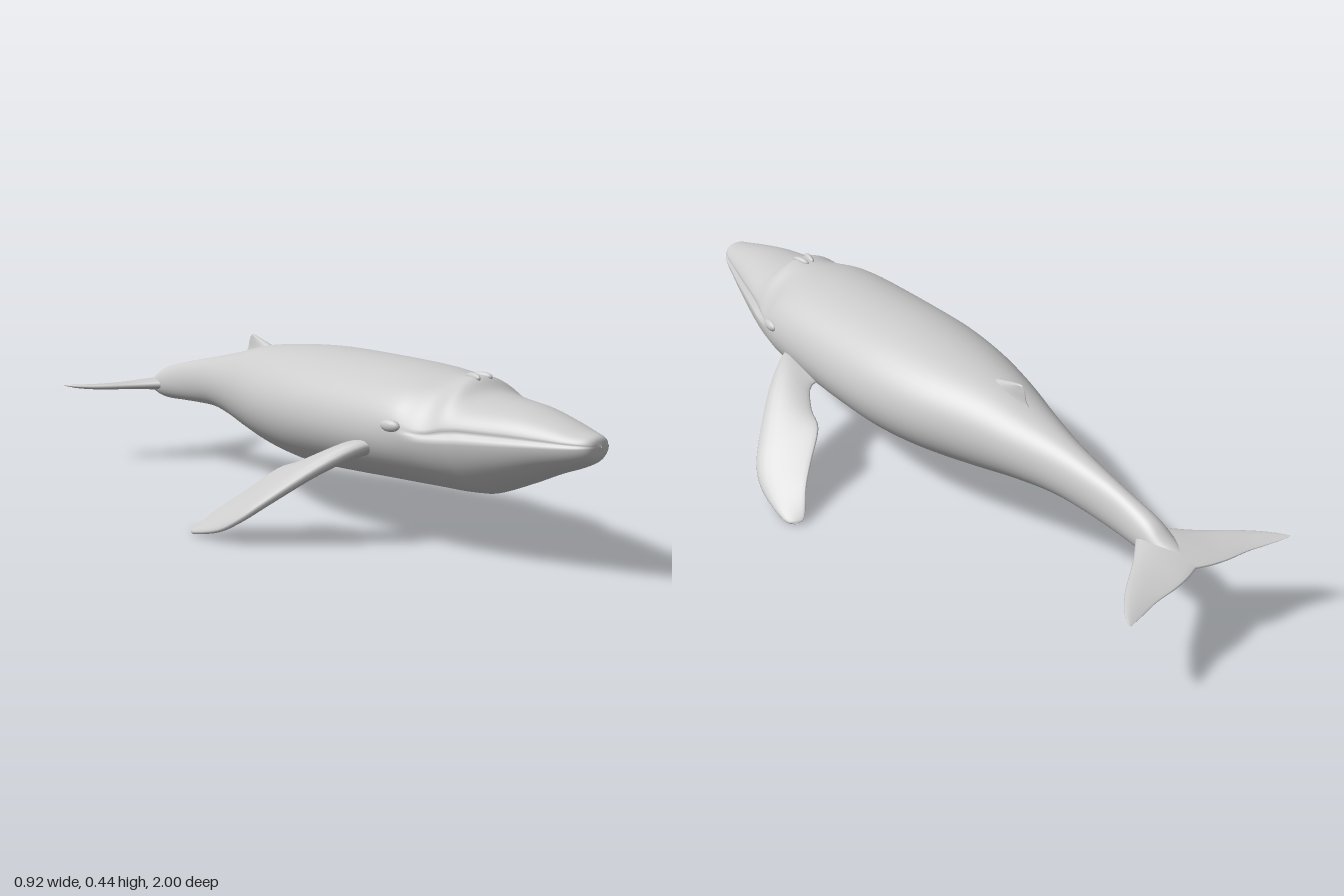
import * as THREE from 'three';
import { mergeVertices } from 'three/addons/utils/BufferGeometryUtils.js';

const material = new THREE.MeshStandardMaterial({ color: 0xcccccc });
const V = (x, y, z) => new THREE.Vector3(x, y, z);
const curve = (pts) => new THREE.CatmullRomCurve3(pts, false, 'catmullrom', 0.5);

// Skin a row of closed rings with smooth normals
function loft(rings, name) {
  const n = rings[0].length, pos = [], idx = [];
  rings.forEach((r) => r.forEach((p) => pos.push(p.x, p.y, p.z)));
  for (let i = 0; i < rings.length - 1; i++) {
    for (let j = 0; j < n; j++) {
      const a = i * n + j, b = i * n + ((j + 1) % n), c = a + n, d = b + n;
      idx.push(a, c, b, b, c, d);
    }
  }
  let g = new THREE.BufferGeometry();
  g.setAttribute('position', new THREE.Float32BufferAttribute(pos, 3));
  g.setIndex(idx);
  g = mergeVertices(g, 1e-5);
  g.computeVertexNormals();
  const mesh = new THREE.Mesh(g, material);
  mesh.name = name;
  return mesh;
}

// Fin from sections [leading edge, trailing edge, half thickness] along a span direction
function fin(sections, span, name, side = 1, steps = 28, seg = 20) {
  const le = curve(sections.map((s) => V(...s[0])));
  const te = curve(sections.map((s) => V(...s[1])));
  const th = curve(sections.map((s) => V(s[2], 0, 0)));
  const rings = [];
  for (let i = 0; i <= steps; i++) {
    const t = i / steps, l = le.getPoint(t), e = te.getPoint(t);
    const mid = l.clone().add(e).multiplyScalar(0.5);
    const u = l.clone().sub(e).multiplyScalar(0.5);
    const v = u.clone().cross(span).normalize().multiplyScalar(th.getPoint(t).x);
    const ring = [];
    for (let j = 0; j < seg; j++) {
      const a = (j / seg) * Math.PI * 2, c = Math.cos(a);
      const p = mid.clone().addScaledVector(u, c).addScaledVector(v, Math.sin(a) * (0.75 + 0.35 * c));
      p.x *= side;
      ring.push(p);
    }
    rings.push(side < 0 ? ring.reverse() : ring);
  }
  return loft(rings, name);
}

function body() {
  // z, half width, top, bottom, height of widest line
  const stations = [
    [1.0, 0.001, 0.322, 0.318, 0.32], [0.99, 0.035, 0.342, 0.288, 0.32],
    [0.95, 0.06, 0.352, 0.266, 0.318], [0.88, 0.085, 0.37, 0.24, 0.315],
    [0.8, 0.112, 0.386, 0.206, 0.312], [0.7, 0.143, 0.395, 0.167, 0.308],
    [0.66, 0.155, 0.405, 0.16, 0.305], [0.62, 0.167, 0.432, 0.157, 0.302],
    [0.57, 0.18, 0.43, 0.156, 0.3], [0.5, 0.194, 0.436, 0.154, 0.295],
    [0.4, 0.201, 0.443, 0.15, 0.292], [0.2, 0.204, 0.447, 0.14, 0.29],
    [0.05, 0.199, 0.447, 0.136, 0.292], [-0.1, 0.177, 0.438, 0.149, 0.295],
    [-0.25, 0.136, 0.42, 0.172, 0.298], [-0.38, 0.096, 0.39, 0.197, 0.295],
    [-0.5, 0.063, 0.365, 0.213, 0.288], [-0.6, 0.046, 0.345, 0.213, 0.28],
    [-0.7, 0.037, 0.325, 0.209, 0.265], [-0.8, 0.037, 0.3, 0.206, 0.25],
    [-0.86, 0.03, 0.268, 0.22, 0.243], [-0.93, 0.001, 0.242, 0.238, 0.24],
  ];
  const spine = curve(stations.map((s) => V(s[0], s[2], s[3])));
  const flank = curve(stations.map((s) => V(s[0], s[1], s[4])));
  const rings = [], steps = 126, seg = 64;
  for (let i = 0; i <= steps; i++) {
    const { x: z, y: top, z: bottom } = spine.getPoint(i / steps);
    const { y: w, z: mid } = flank.getPoint(i / steps);
    const jaw = THREE.MathUtils.smoothstep(z, 0.52, 0.64);
    const pinch = 0.7 * Math.exp(-(((z - 0.59) / 0.05) ** 2));
    const ring = [];
    for (let j = 0; j < seg; j++) {
      const a = (j / seg) * Math.PI * 2, s = Math.sin(a);
      // upper jaw sits slightly inside the lower lip, with a groove between
      const step = 1 - jaw * (0.05 * THREE.MathUtils.smoothstep(s, 0, 0.12) + 0.05 * Math.exp(-(((s - 0.1) / 0.06) ** 2)));
      // shoulders sink beside the blowhole ridge
      const y = s > 0 ? mid + (top - mid) * s ** (1 + pinch) : mid + (mid - bottom) * s;
      ring.push(V(w * Math.cos(a) * step, y, z));
    }
    rings.push(ring);
  }
  return loft(rings, 'body');
}

function ellipsoid(name, p, r, yaw = 0) {
  const m = new THREE.Mesh(new THREE.SphereGeometry(1, 16, 10), material);
  m.position.set(...p);
  m.scale.set(...r);
  m.rotation.y = yaw;
  m.name = name;
  return m;
}

export function createModel() {
  const whale = new THREE.Group();
  whale.name = 'whale';
  whale.add(body());

  const flipper = [
    [[0.13, 0.255, 0.47], [0.13, 0.235, 0.28], 0.035],
    [[0.2, 0.255, 0.435], [0.2, 0.225, 0.295], 0.03],
    [[0.29, 0.205, 0.375], [0.245, 0.195, 0.235], 0.026],
    [[0.385, 0.12, 0.29], [0.267, 0.172, 0.172], 0.022],
    [[0.43, 0.07, 0.235], [0.33, 0.115, 0.12], 0.018],
    [[0.45, 0.035, 0.17], [0.375, 0.075, 0.08], 0.014],
    [[0.458, 0.012, 0.07], [0.415, 0.025, 0.033], 0.009],
    [[0.442, 0.01, 0.036], [0.436, 0.012, 0.033], 0.001],
  ];
  const fluke = [
    [[0, 0.25, -0.75], [0, 0.24, -0.945], 0.025],
    [[0.04, 0.247, -0.79], [0.04, 0.238, -0.957], 0.02],
    [[0.1, 0.243, -0.842], [0.09, 0.236, -0.965], 0.014],
    [[0.18, 0.24, -0.9], [0.15, 0.235, -0.97], 0.011],
    [[0.235, 0.24, -0.952], [0.21, 0.237, -0.985], 0.007],
    [[0.264, 0.242, -0.994], [0.26, 0.242, -0.999], 0.001],
  ];
  // Paired parts
  for (const [side, label] of [[1, 'left'], [-1, 'right']]) {
    whale.add(fin(flipper, V(0.6, -0.55, -0.58).normalize(), label + 'Flipper', side));
    whale.add(fin(fluke, V(1, 0, 0), label + 'Fluke', side));
    whale.add(ellipsoid(label + 'Eye', [side * 0.187, 0.318, 0.51], [0.013, 0.015, 0.03], -side * 0.15));
    whale.add(ellipsoid(label + 'BlowholeRidge', [side * 0.014, 0.429, 0.605], [0.009, 0.011, 0.03], side * 0.2));
  }

  // Small swept-back dorsal fin
  whale.add(fin([
    [[0, 0.38, -0.17], [0, 0.36, -0.42], 0.035],
    [[0, 0.415, -0.23], [0, 0.395, -0.365], 0.018],
    [[0, 0.432, -0.285], [0, 0.425, -0.352], 0.009],
    [[0, 0.441, -0.32], [0, 0.439, -0.344], 0.005],
    [[0, 0.444, -0.333], [0, 0.444, -0.338], 0.001],
  ], V(0, 1, 0), 'dorsalFin'));

  return whale;
}
